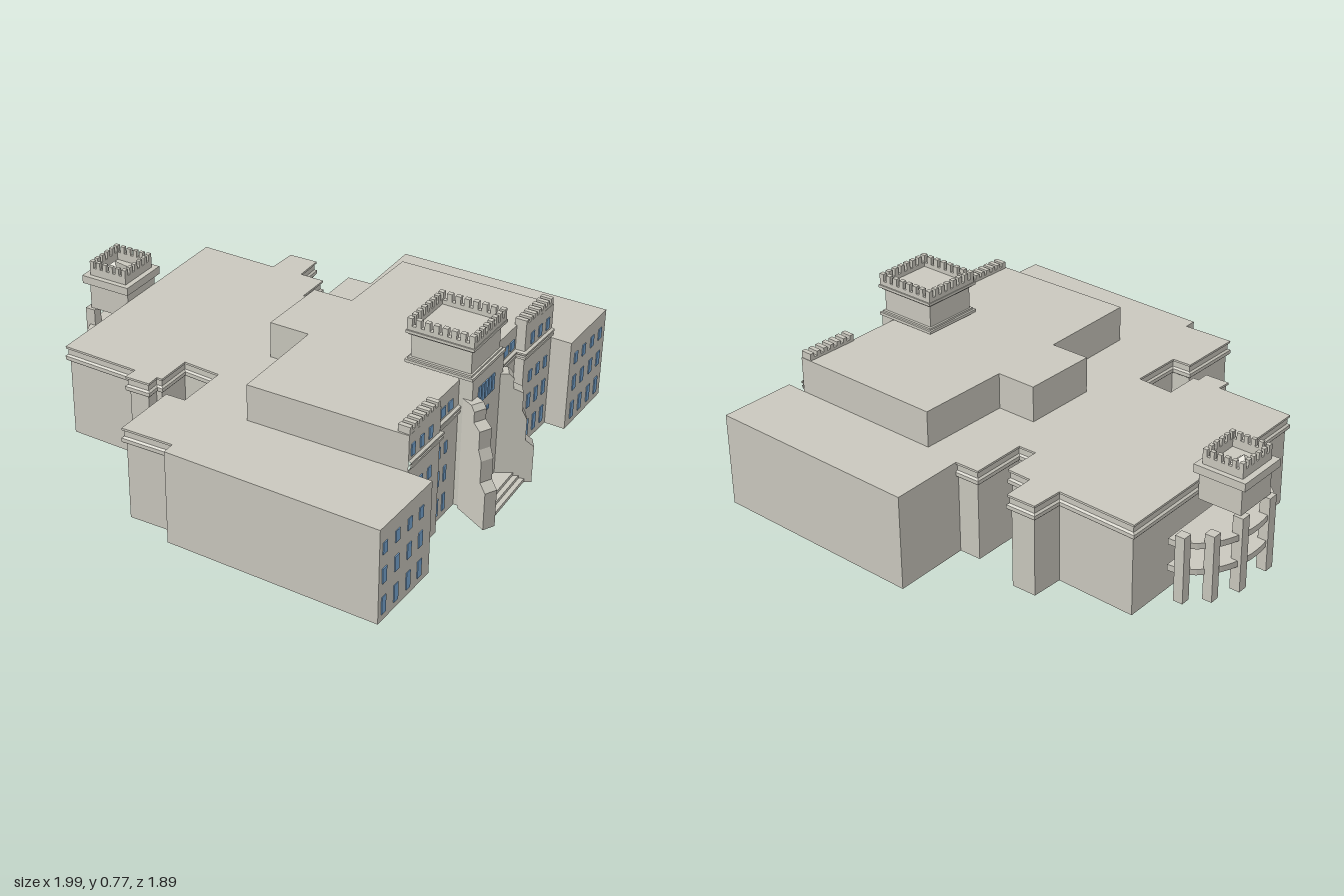
import * as THREE from 'three';

const stone = new THREE.MeshStandardMaterial({ color: 0xcac8be, flatShading: true, side: THREE.DoubleSide });
stone.name = 'stone';
const glass = new THREE.MeshStandardMaterial({ color: 0x7aa9d6, flatShading: true });
glass.name = 'window blue';

// Plan lines as [x, z], running clockwise seen from above
const westLine = [[-0.02, 0.845], [-0.245, 0.845], [-0.235, 0.56], [-0.15, 0.56], [-0.14, 0.335], [-0.305, 0.32],
  [-0.31, 0.475], [-0.335, 0.475], [-0.335, 0.53], [-0.445, 0.53], [-0.44, 0.47], [-0.785, 0.455],
  [-0.77, -0.57], [-0.42, -0.555], [-0.41, -0.69], [-0.28, -0.69], [-0.28, -0.555], [-0.17, -0.55],
  [-0.175, -0.39], [-0.095, -0.39], [-0.09, -0.63], [0.018, -0.63]];
const northWing = [[0.018, -0.61], [0.02, -0.95], [0.97, -0.915], [0.955, -0.58], [0.865, -0.585]];
const southWing = [[0.81, 0.575], [0.91, 0.58], [0.89, 0.94], [-0.02, 0.9], [-0.02, 0.83]];
const facade = [[0.865, -0.585], [0.85, -0.35], [0.81, -0.35], [0.79, 0.34], [0.82, 0.34], [0.81, 0.575]];
const upperLine = [[0.81, 0.575], [0.13, 0.565], [0.14, 0.12], [-0.035, 0.115], [-0.02, -0.21],
  [0.155, -0.205], [0.175, -0.61], [0.865, -0.585]];

function add(parent, name, geometry, material = stone) {
  const mesh = new THREE.Mesh(geometry, material);
  mesh.name = name;
  parent.add(mesh);
  return mesh;
}

function box(parent, name, x0, x1, y0, y1, z0, z1, material) {
  const mesh = add(parent, name, new THREE.BoxGeometry(x1 - x0, y1 - y0, z1 - z0), material);
  mesh.position.set((x0 + x1) / 2, (y0 + y1) / 2, (z0 + z1) / 2);
  return mesh;
}

// Sweeps a profile of [outward offset, y] along a plan line, with mitred corners
function sweep(path, profile) {
  const normals = path.slice(1).map(([x, z], i) => {
    const dx = x - path[i][0], dz = z - path[i][1], l = Math.hypot(dx, dz);
    return [dz / l, -dx / l];
  });
  const pos = [], index = [], n = profile.length;
  path.forEach(([x, z], i) => {
    const a = normals[Math.max(i - 1, 0)], b = normals[Math.min(i, normals.length - 1)];
    const k = 1 / (1 + a[0] * b[0] + a[1] * b[1]);
    for (const [o, y] of profile) pos.push(x + (a[0] + b[0]) * k * o, y, z + (a[1] + b[1]) * k * o);
  });
  for (let i = 0; i < path.length - 1; i++) {
    for (let j = 0; j < n - 1; j++) {
      const p = i * n + j, q = p + n;
      index.push(p, p + 1, q, q, p + 1, q + 1);
    }
  }
  const g = new THREE.BufferGeometry();
  g.setAttribute('position', new THREE.Float32BufferAttribute(pos, 3));
  g.setIndex(index);
  g.computeVertexNormals();
  return g;
}

function flatRoof(points, y) {
  const shape = new THREE.Shape(points.map(([x, z]) => new THREE.Vector2(x, -z)));
  return new THREE.ShapeGeometry(shape).rotateX(-Math.PI / 2).translate(0, y, 0);
}

// Square parapet with n merlons on each side
function crown(parent, hx, hz, t, y0, y1, y2, n) {
  for (const s of [-1, 1]) {
    const xo = s * (hx - t / 2), zo = s * (hz - t / 2);
    box(parent, 'parapet', xo - t / 2, xo + t / 2, y0, y1, -hz, hz);
    box(parent, 'parapet', -hx, hx, y0, y1, zo - t / 2, zo + t / 2);
    for (let i = 0; i < n; i++) {
      const f = i / (n - 1) * 2 - 1, wx = hx / n * 0.62, wz = hz / n * 0.62;
      const x = f * (hx - wx), z = f * (hz - wz);
      box(parent, 'merlon', xo - t / 2, xo + t / 2, y1, y2, z - wz, z + wz);
      box(parent, 'merlon', x - wx, x + wx, y1, y2, zo - t / 2, zo + t / 2);
    }
  }
}

// Thin window panes on the wall running from a to b
function windows(parent, a, b, zs, w, rows) {
  for (const z of zs) {
    const x = a[0] + (b[0] - a[0]) * (z - a[1]) / (b[1] - a[1]);
    for (const [y0, y1] of rows) {
      const pane = box(parent, 'window', x - 0.003, x + 0.004, y0, y1, z - w / 2, z + w / 2, glass);
      pane.rotation.y = Math.atan2(b[0] - a[0], b[1] - a[1]);
    }
  }
}

export function createModel() {
  const model = new THREE.Group();
  model.name = 'building';

  // Main walls and roofs, open underneath
  add(model, 'westWalls', sweep(westLine, [[-0.012, 0.01], [-0.012, 0.345], [-0.002, 0.352], [0.002, 0.358],
    [0.002, 0.372], [-0.007, 0.378], [-0.007, 0.402], [0, 0.406], [0, 0.415]]));
  const plain = [[0, 0.01], [0, 0.415]];
  add(model, 'northWingWalls', sweep(northWing, plain));
  add(model, 'southWingWalls', sweep(southWing, plain));
  add(model, 'facade', sweep(facade, [[0, 0.01], [0, 0.425], [0.01, 0.43], [0.01, 0.44], [0.004, 0.443],
    [0.004, 0.448], [0.012, 0.45], [0.012, 0.458], [0, 0.462], [0, 0.57]]));
  add(model, 'upperWalls', sweep(upperLine, [[0, 0.415], [0, 0.57]]));
  add(model, 'lowerRoof', flatRoof([...westLine, ...northWing.slice(1), ...upperLine.slice(1, -1).reverse(),
    ...southWing.slice(0, -1)], 0.415));
  add(model, 'upperRoof', flatRoof([...upperLine, ...facade.slice(1, -1)], 0.57));

  // Facade windows
  const rows = [[0.04, 0.115], [0.175, 0.24], [0.3, 0.35]], high = [[0.475, 0.525]], attic = [[0.475, 0.515]];
  const win = new THREE.Group();
  win.name = 'windows';
  model.add(win);
  windows(win, southWing[1], southWing[2], [0.905, 0.82, 0.735, 0.655], 0.028, rows);
  windows(win, northWing[2], northWing[3], [-0.635, -0.71, -0.79, -0.865], 0.028, rows);
  windows(win, facade[4], facade[5], [0.545, 0.48, 0.415], 0.026, [...rows, ...high]);
  windows(win, facade[0], facade[1], [-0.41, -0.475, -0.54], 0.026, [...rows, ...high]);
  windows(win, facade[2], facade[3], [0.335, 0.285, 0.23, -0.22, -0.275, -0.325], 0.02, rows);
  windows(win, facade[2], facade[3], [0.325, 0.265, 0.205, -0.2, -0.26, -0.315], 0.036, attic);

  // Battlements over the two pavilions
  for (const [x, z, l] of [[0.832, -0.467, 0.235], [0.79, 0.458, 0.22]]) {
    const g = new THREE.Group();
    g.name = 'pavilionBattlement';
    g.position.set(x, 0, z);
    g.rotation.y = -0.05;
    model.add(g);
    box(g, 'parapet', -0.025, 0.025, 0.565, 0.582, -l / 2, l / 2);
    for (let i = 0; i < 7; i++) {
      const c = (i / 6 - 0.5) * (l - 0.02);
      box(g, 'merlon', -0.025, 0.025, 0.582, 0.6, c - 0.01, c + 0.01);
    }
  }

  // Entrance tower
  const tower = new THREE.Group();
  tower.name = 'entranceTower';
  tower.position.set(0.715, 0, 0.007);
  tower.rotation.y = -0.035;
  model.add(tower);
  box(tower, 'entranceWall', 0.08, 0.142, 0.01, 0.59, -0.128, 0.128);
  box(tower, 'shaft', -0.127, 0.127, 0.57, 0.72, -0.118, 0.118);
  for (const [y, h, e] of [[0.582, 0.012, 0.144], [0.594, 0.008, 0.135], [0.7, 0.008, 0.135], [0.708, 0.012, 0.144]])
    box(tower, 'moulding', -e, e, y, y + h, -e + 0.006, e - 0.006);
  crown(tower, 0.141, 0.132, 0.02, 0.72, 0.738, 0.77, 8);
  for (let i = 0; i < 5; i++) {
    const z = -0.042 + i * 0.028;
    box(tower, 'towerWindow', 0.139, 0.146, 0.457, 0.53, z - 0.01, z + 0.01, glass);
  }
  for (const z of [-0.005, 0.017, 0.039]) box(tower, 'smallWindow', 0.139, 0.146, 0.393, 0.41, z - 0.009, z + 0.009, glass);

  // Stepped buttresses splayed either side of the entrance
  const profile = [[-0.03, 0], [0.14, 0], [0.14, 0.165], [0.105, 0.195], [0.105, 0.29], [0.085, 0.33],
    [0.085, 0.41], [0.045, 0.43], [0.045, 0.475], [0.025, 0.495], [-0.03, 0.495]];
  const buttress = new THREE.ExtrudeGeometry(new THREE.Shape(profile.map(p => new THREE.Vector2(...p))),
    { depth: 0.055, bevelEnabled: false }).translate(0, 0, -0.0275);
  for (const s of [-1, 1]) {
    const b = add(model, 'buttress', buttress);
    b.position.set(0.855, 0, s * 0.127 + 0.004);
    b.rotation.y = -s * 0.52;
  }

  // Entrance steps, widening outward
  for (let i = 0; i < 3; i++) {
    const x = 0.965 - i * 0.02, w = 0.165 - i * 0.011;
    const step = new THREE.Shape([[0.84, 0.115], [x, w], [x, -w], [0.84, -0.115]].map(p => new THREE.Vector2(...p)));
    add(model, 'entranceStep', new THREE.ExtrudeGeometry(step, { depth: 0.015, bevelEnabled: false })
      .rotateX(-Math.PI / 2).translate(0, 0.002 + i * 0.014, 0.006));
  }

  // Rear turret on columns
  const turret = new THREE.Group();
  turret.name = 'rearTurret';
  turret.position.set(-0.88, 0, -0.077);
  turret.rotation.y = -0.015;
  model.add(turret);
  box(turret, 'turretBody', -0.092, 0.1, 0.335, 0.455, -0.098, 0.098);
  box(turret, 'turretLedge', -0.116, 0.114, 0.455, 0.49, -0.117, 0.117);
  crown(turret, 0.09, 0.095, 0.016, 0.49, 0.525, 0.555, 6);
  const cap = add(turret, 'turretCap', new THREE.ConeGeometry(0.059, 0.04, 4).rotateY(Math.PI / 4));
  cap.position.set(-0.03, 0.51, 0);
  for (const z of [-0.09, 0.09]) box(turret, 'turretColumn', -0.112, -0.067, 0.01, 0.335, z - 0.022, z + 0.022);

  // Rear balconies: two half-oval slabs and their posts
  for (const y of [0.12, 0.235]) {
    const slab = add(model, 'balcony', new THREE.CylinderGeometry(1, 1, 0.026, 24, 1, false, Math.PI, Math.PI));
    slab.scale.set(0.21, 1, 0.29);
    slab.position.set(-0.782, y + 0.013, -0.08);
  }
  for (const [x, z] of [[-0.845, -0.365], [-0.925, -0.29]])
    box(model, 'balconyPost', x - 0.021, x + 0.021, 0.01, 0.3, z - 0.021, z + 0.021);

  return model;
}
